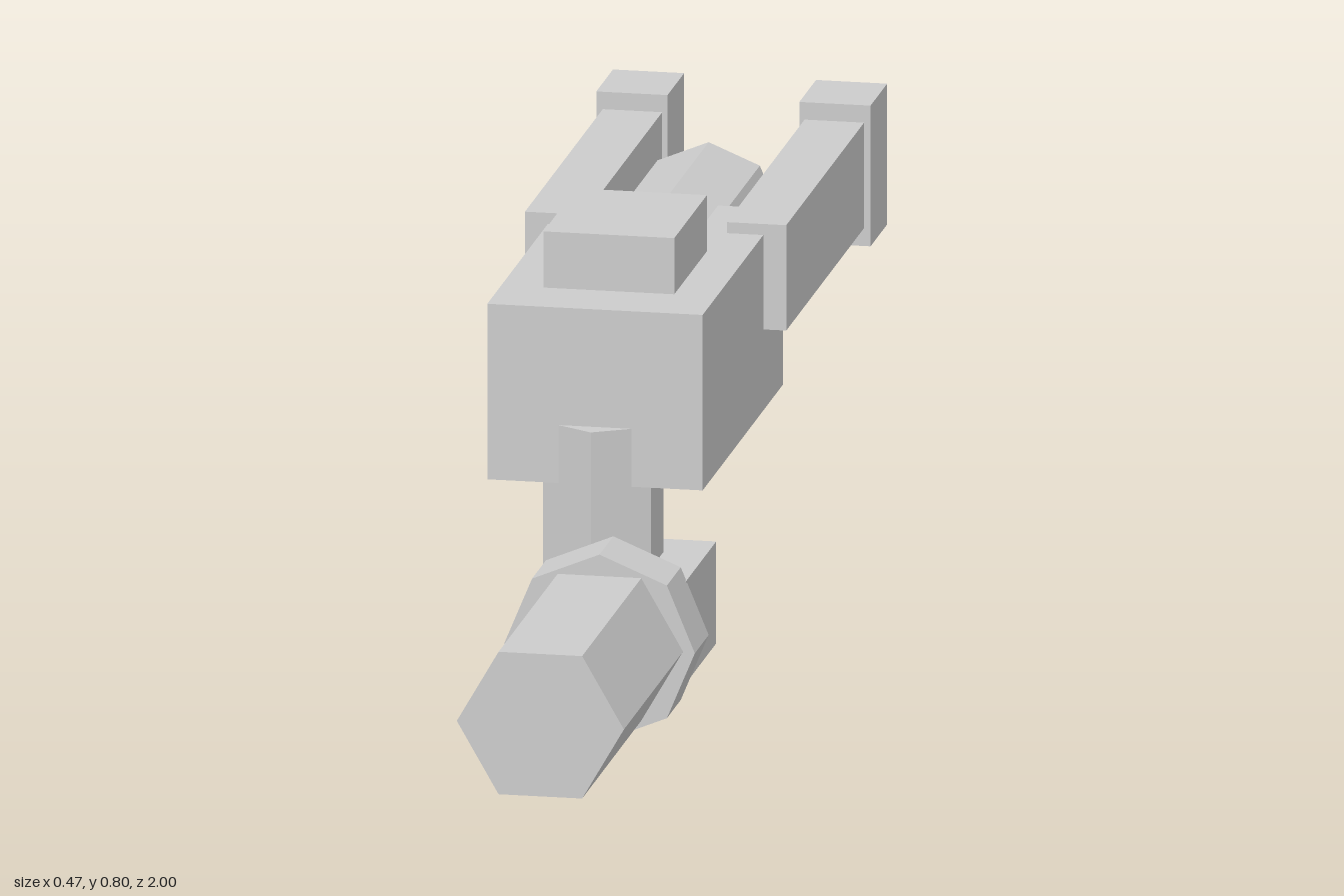
import * as THREE from 'three';

export function createModel() {
  const model = new THREE.Group();
  const grey = new THREE.MeshStandardMaterial({ color: 0xcccccc, flatShading: true });
  grey.name = 'plain grey';

  function add(name, geometry) {
    const mesh = new THREE.Mesh(geometry, grey);
    mesh.name = name;
    model.add(mesh);
    return mesh;
  }
  // Box given by its limits on each axis
  function box(name, x0, x1, y0, y1, z0, z1) {
    add(name, new THREE.BoxGeometry(x1 - x0, y1 - y0, z1 - z0))
      .position.set((x0 + x1) / 2, (y0 + y1) / 2, (z0 + z1) / 2);
  }
  // Prism lying along z
  function prism(name, radius, sides, start, x, y, z0, z1) {
    const g = new THREE.CylinderGeometry(radius, radius, z1 - z0, sides, 1, false, start);
    g.rotateX(Math.PI / 2);
    add(name, g).position.set(x, y, (z0 + z1) / 2);
  }

  // Main body with raised cap
  box('body', -0.183, 0.183, 0.4, 0.703, -0.36, 0.33);
  box('topCap', -0.111, 0.111, 0.703, 0.8, -0.07, 0.21);

  // Rear core between the two arms
  prism('rearCore', 0.123, 8, 0, 0, 0.61, -0.645, -0.155);

  // Arms with end blocks, mirrored
  for (const [side, s] of [['left', 1], ['right', -1]]) {
    const pair = (a, b) => (s > 0 ? [a, b] : [-b, -a]);
    box(side + 'Arm', ...pair(0.121, 0.222), 0.54, 0.722, -0.87, -0.19);
    box(side + 'ArmEnd', ...pair(0.112, 0.233), 0.509, 0.752, -1, -0.857);
  }

  // Hexagonal post joining body and lower block
  add('post', new THREE.CylinderGeometry(0.106, 0.106, 0.4, 6)).position.set(0, 0.3, 0.26);

  // Lower block, collar and barrel, set slightly to the left
  box('lowerBlock', -0.085, 0.165, 0.08, 0.256, 0.123, 0.38);
  prism('collar', 0.162, 8, 0, 0.04, 0.163, 0.374, 0.493);
  prism('barrel', 0.142, 6, Math.PI / 6, 0.04, 0.165, 0.354, 1);

  return model;
}
